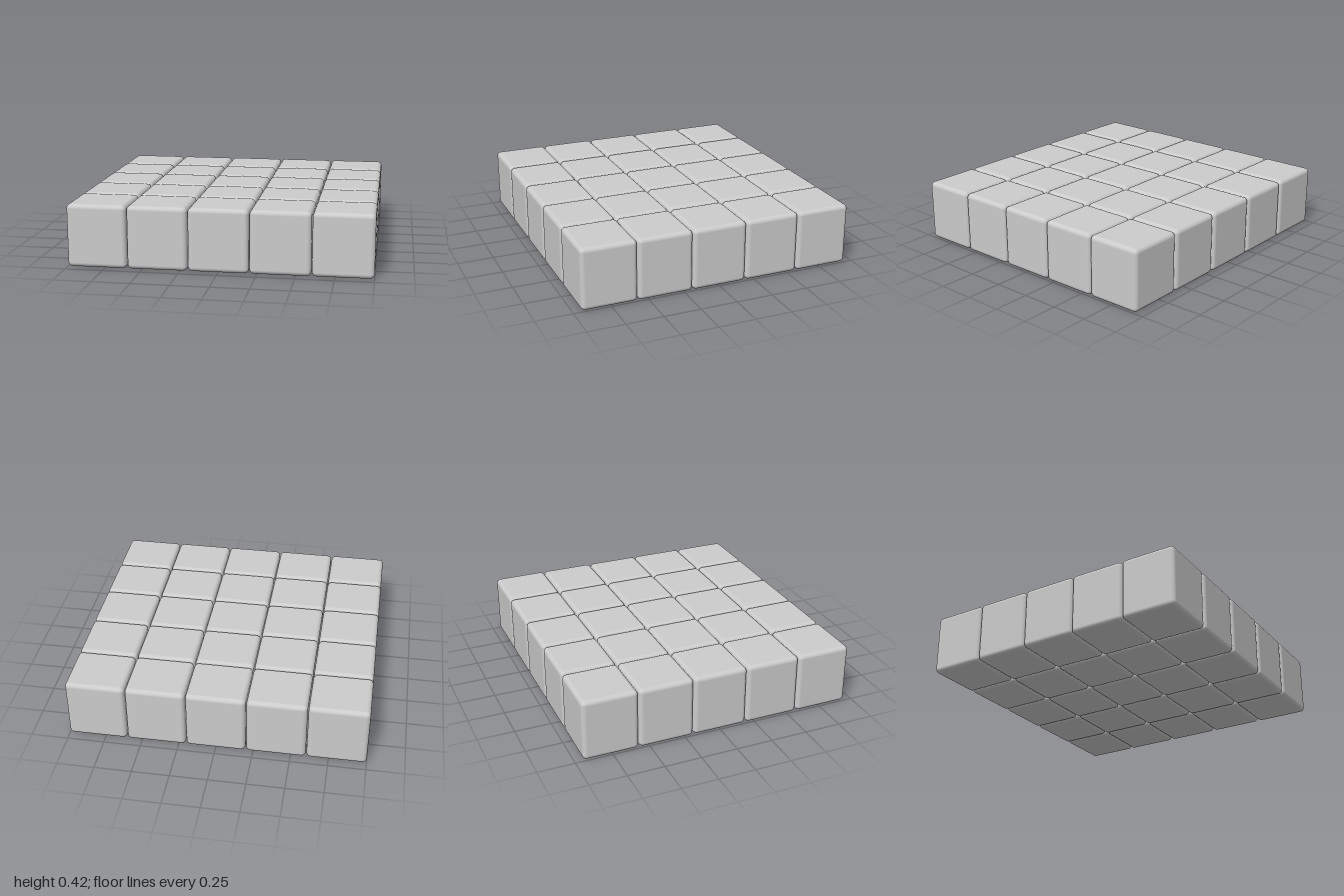
import * as THREE from 'three';
import { RoundedBoxGeometry } from 'three/addons/geometries/RoundedBoxGeometry.js';

// A slab of five by five softly rounded blocks
const COUNT = 5;
const SIZE = { x: 0.396, y: 0.42, z: 0.376 };
const PITCH = { x: 0.401, z: 0.379 };
const RADIUS = 0.03;

export function createModel() {
  const group = new THREE.Group();
  group.name = 'blockSlab';
  const material = new THREE.MeshStandardMaterial({ color: 0xcccccc });
  const geometry = new RoundedBoxGeometry(SIZE.x, SIZE.y, SIZE.z, 4, RADIUS);
  const middle = (COUNT - 1) / 2;

  for (let row = 0; row < COUNT; row++) {
    for (let column = 0; column < COUNT; column++) {
      const block = new THREE.Mesh(geometry, material);
      block.name = `block row ${row + 1} column ${column + 1}`;
      block.position.set((column - middle) * PITCH.x, SIZE.y / 2, (row - middle) * PITCH.z);
      group.add(block);
    }
  }
  return group;
}
